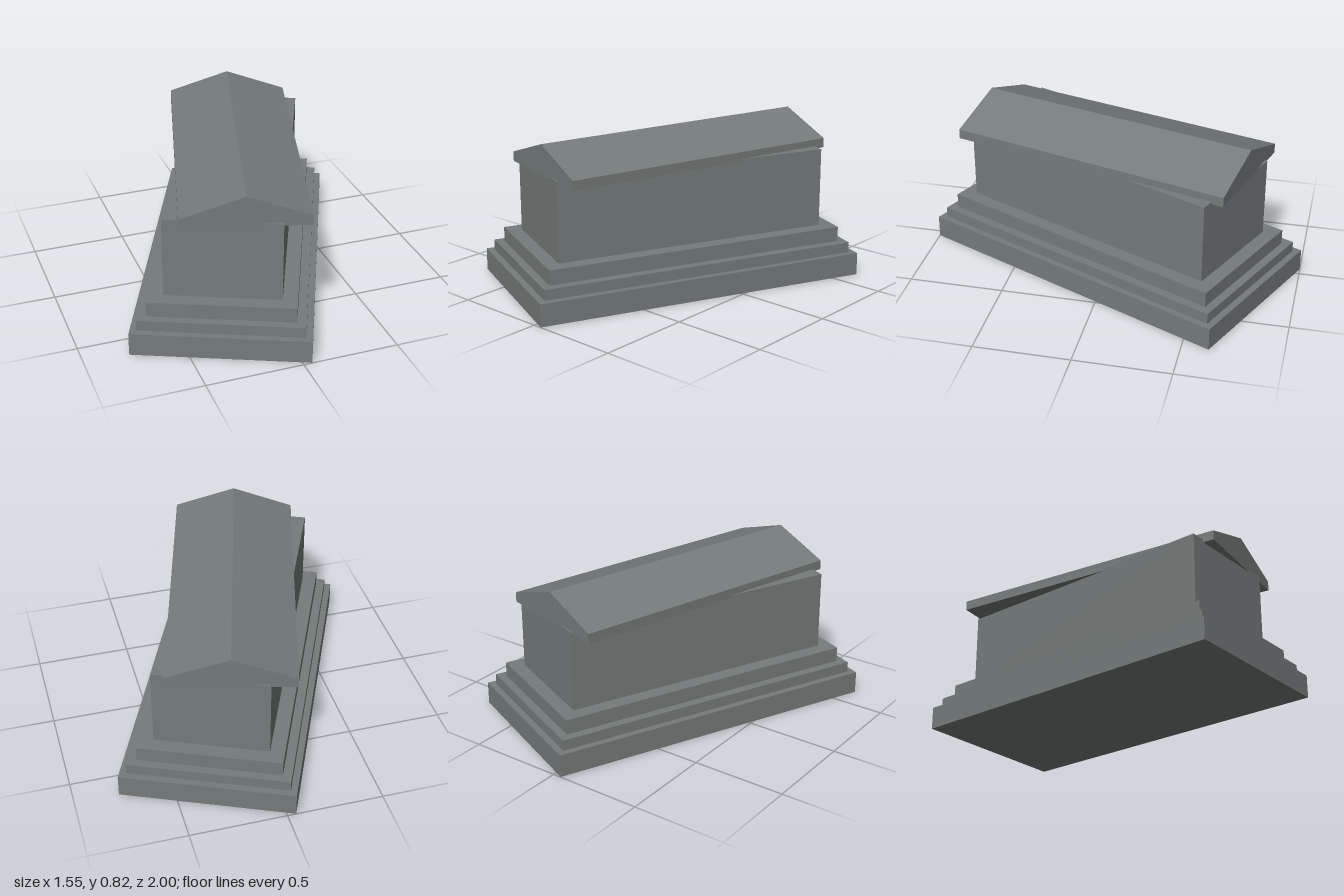
import * as THREE from 'three';

export function createModel() {
  const model = new THREE.Group();
  model.name = 'stoneTomb';
  const stone = new THREE.MeshStandardMaterial({ color: 0x757c7b, flatShading: true });

  // Stepped plinth and chest, stacked along one turned axis
  const base = new THREE.Group();
  base.name = 'base';
  base.rotation.y = -0.419;
  model.add(base);
  const tiers = [
    // name, width, length, bottom, top
    ['bottomStep', 0.895, 1.789, 0, 0.12],
    ['middleStep', 0.828, 1.719, 0.12, 0.176],
    ['topStep', 0.736, 1.632, 0.176, 0.255],
    ['chest', 0.586, 1.482, 0.255, 0.676],
  ];
  for (const [name, width, length, bottom, top] of tiers) {
    const tier = new THREE.Mesh(new THREE.BoxGeometry(width, top - bottom, length), stone);
    tier.name = name;
    tier.position.y = (bottom + top) / 2;
    base.add(tier);
  }

  // Gabled lid, pushed slightly askew on the chest
  const halfWidth = 0.321, length = 1.523;
  const gable = new THREE.Shape([
    new THREE.Vector2(-halfWidth, 0),
    new THREE.Vector2(halfWidth, 0),
    new THREE.Vector2(halfWidth, 0.051),
    new THREE.Vector2(0, 0.161),
    new THREE.Vector2(-halfWidth, 0.051),
  ]);
  const lidGeometry = new THREE.ExtrudeGeometry(gable, { depth: length, bevelEnabled: false });
  lidGeometry.translate(0, 0, -length / 2);
  const lid = new THREE.Mesh(lidGeometry, stone);
  lid.name = 'lid';
  lid.position.set(0.006, 0.662, 0.002);
  lid.rotation.y = -0.277;
  model.add(lid);

  return model;
}
